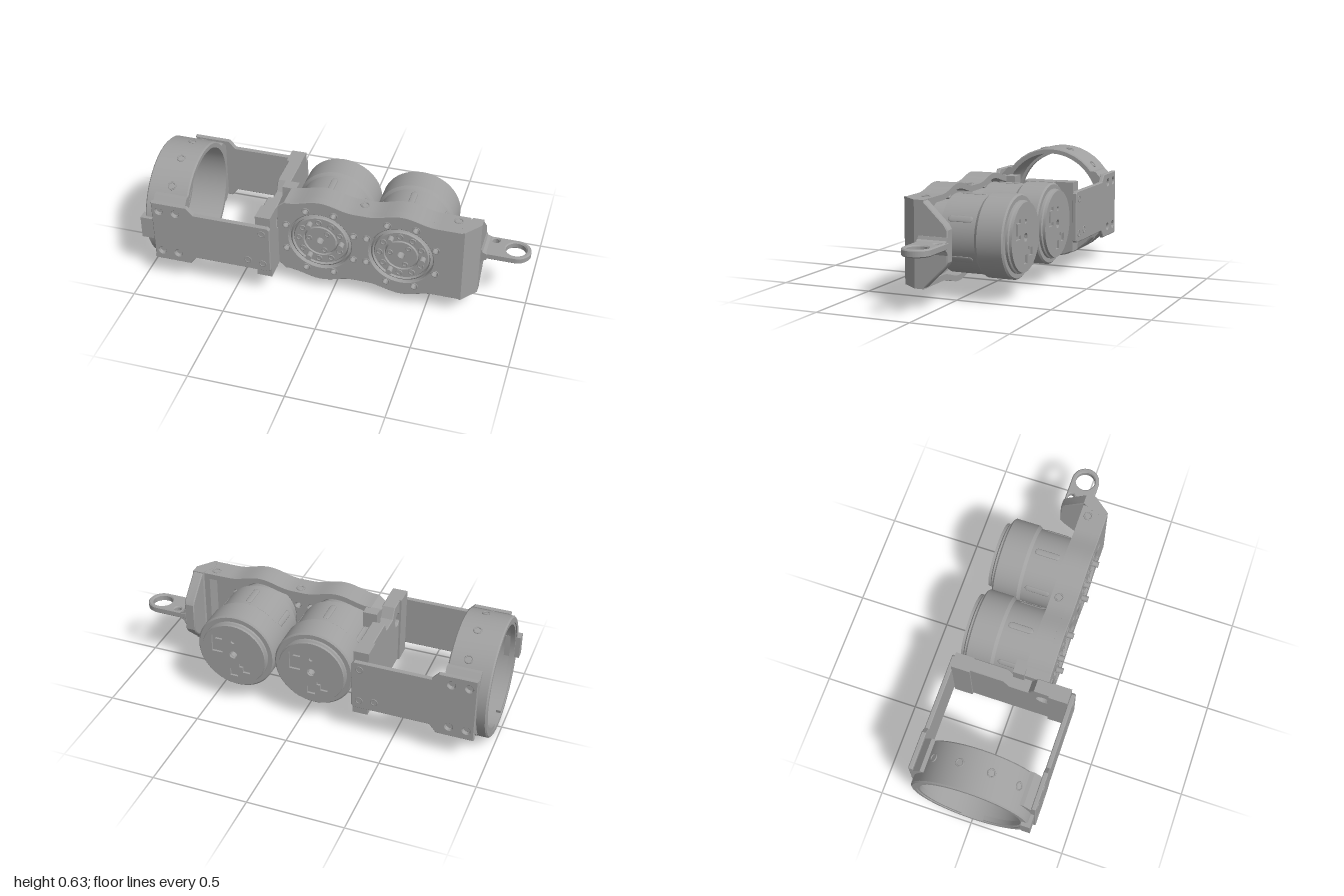
import * as THREE from 'three';
import { toCreasedNormals } from 'three/addons/utils/BufferGeometryUtils.js';

const metal = new THREE.MeshStandardMaterial({ color: 0xa0a0a0 });
metal.name = 'grey metal';

const CY = 0.317;               // height of the main axis
const MOTORS = [-0.065, 0.365]; // motor centres along x

function add(parent, name, geo) {
  const m = new THREE.Mesh(geo, metal);
  m.name = name;
  parent.add(m);
  return m;
}
const poly = pts => new THREE.Shape(pts.map(p => new THREE.Vector2(p[0], p[1])));
function hole(shape, x, y, r) {
  const p = new THREE.Path();
  p.absarc(x, y, r, 0, Math.PI * 2, true);
  shape.holes.push(p);
}
// Extrude between two depths along z, x or y
function extrude(shape, from, to, axis = 'z', bevel = 0) {
  const g = new THREE.ExtrudeGeometry(shape, {
    depth: to - from - 2 * bevel, curveSegments: 20, bevelEnabled: bevel > 0,
    bevelSize: bevel, bevelThickness: bevel, bevelOffset: -bevel, bevelSegments: 1,
  });
  g.translate(0, 0, from + bevel);
  if (axis === 'x') g.rotateY(Math.PI / 2);   // shape is (-z, y)
  if (axis === 'y') g.rotateX(-Math.PI / 2);  // shape is (x, -z)
  return toCreasedNormals(g, 0.5);
}
function lathe(pts, segments) {
  const g = new THREE.LatheGeometry(pts.map(p => new THREE.Vector2(p[0], p[1])), segments);
  return toCreasedNormals(g, 0.4);
}
function box(parent, name, x0, x1, y0, y1, z0, z1) {
  const m = add(parent, name, new THREE.BoxGeometry(x1 - x0, y1 - y0, z1 - z0));
  m.position.set((x0 + x1) / 2, (y0 + y1) / 2, (z0 + z1) / 2);
  return m;
}
function rim(parent, name, x, y, z, r) {
  const m = add(parent, name, new THREE.TorusGeometry(r, 0.004, 6, 16));
  m.position.set(x, y, z);
  return m;
}

// Wavy body outline, swelling around both motors
function bodyOutline(x0, x1, inset) {
  const top = [[x0, 0.18 - inset]];
  const start = x0 + 0.04;
  for (let i = 0; i <= 48; i++) {
    const x = start + (x1 - start) * i / 48;
    let h = 0.215 - inset;
    for (const c of MOTORS) {
      const d = Math.abs(x - c);
      if (d < 0.18) h += 0.034 * Math.cos(Math.PI * d / 0.36) ** 2;
    }
    top.push([x, h]);
  }
  const low = top.map(([x, h]) => [x, CY - h]);
  return low.concat(top.map(([x, h]) => [x, CY + h]).reverse());
}

function buildClamp() {
  const g = new THREE.Group();
  g.name = 'clampFrame';

  // Open ring
  const ring = add(g, 'clampRing', lathe(
    [[0.285, -0.98], [0.308, -0.98], [0.315, -0.973], [0.315, -0.762], [0.308, -0.755], [0.285, -0.755], [0.285, -0.98]], 40));
  ring.geometry.rotateZ(-Math.PI / 2);
  ring.position.y = CY - 0.002;

  // Inner lip, open at top and bottom
  for (const a of [0, Math.PI]) {
    const s = new THREE.Shape();
    s.absarc(0, 0, 0.288, a - 1.35, a + 1.35, false);
    s.absarc(0, 0, 0.268, a + 1.35, a - 1.35, true);
    add(g, 'ringLip', extrude(s, -0.975, -0.95, 'x')).position.y = CY;
  }
  // Screw holes round the ring
  for (let i = 0; i < 12; i++) {
    const a = (15 + 30 * i) * Math.PI / 180;
    const r = rim(g, 'ringScrewHole', -0.85, CY + 0.314 * Math.cos(a), 0.314 * Math.sin(a), 0.019);
    r.rotation.x = a - Math.PI / 2;
  }

  for (const s of [-1, 1]) {
    // Side plates
    const plate = poly([[-0.93, 0.135], [-0.735, 0.135], [-0.70, 0.178], [-0.30, 0.178], [-0.288, 0.19],
      [-0.288, 0.445], [-0.30, 0.457], [-0.70, 0.457], [-0.735, 0.497], [-0.93, 0.497]]);
    for (const x of [-0.89, -0.80]) for (const y of [0.19, 0.445]) hole(plate, x, y, 0.019);
    add(g, 'sidePlate', extrude(plate, s > 0 ? 0.308 : -0.332, s > 0 ? 0.332 : -0.308, 'z', 0.004));
    for (const [x, y] of [[-0.33, 0.415], [-0.33, 0.225], [-0.41, 0.235]]) rim(g, 'plateScrew', x, y, s * 0.331, 0.017);
    // Corner blocks between ring and plates
    for (const t of [-1, 1]) {
      const pts = [[0.24, 0.19], [0.27, 0.19], [0.312, 0.145], [0.312, 0.03], [0.29, 0.08], [0.26, 0.14]]
        .map(([u, v]) => [u * s, v * t]);
      add(g, 'cornerBlock', extrude(poly(pts), -0.93, -0.755, 'x')).position.y = CY;
    }
  }
  // Cross wall with a cable notch and hole
  const wall = poly([[-0.31, 0.15], [-0.29, 0.13], [0.29, 0.13], [0.31, 0.15], [0.31, 0.49], [0.29, 0.505],
    [0.03, 0.505], [0, 0.45], [-0.1, 0.45], [-0.13, 0.505], [-0.29, 0.505], [-0.31, 0.49]]);
  hole(wall, -0.18, 0.40, 0.035);
  add(g, 'crossWall', extrude(wall, -0.36, -0.29, 'x', 0.004));
  for (const s of [-1, 1]) box(g, 'wallFoot', -0.37, -0.29, 0.13, 0.505, s * 0.26 - 0.05, s * 0.26 + 0.05);
  box(g, 'ringTab', -1, -0.92, 0.255, 0.38, 0.275, 0.325);
  return g;
}

function buildBody() {
  const g = new THREE.Group();
  g.name = 'motorBody';

  // Front plate with motor openings and rings of screw holes
  const front = poly(bodyOutline(-0.295, 0.68, 0));
  for (const c of MOTORS) {
    hole(front, c, CY, 0.168);
    for (let i = 0; i < 8; i++) {
      const a = (i + 0.5) * Math.PI / 4;
      const x = c + 0.195 * Math.cos(a), y = CY + 0.195 * Math.sin(a);
      hole(front, x, y, 0.014);
      rim(g, 'bodyScrew', x, y, 0.187, 0.018);
    }
  }
  add(g, 'frontPlate', extrude(front, 0.14, 0.188, 'z', 0.004));

  // Hollow rim behind the plate
  const shell = poly(bodyOutline(-0.295, 0.69, 0));
  shell.holes.push(poly(bodyOutline(-0.262, 0.66, 0.03)));
  add(g, 'bodyRim', extrude(shell, 0.052, 0.145));

  // Slanted end and tapering end plate
  const end = poly([[0.675, -0.188], [0.685, -0.188], [0.755, -0.10], [0.755, -0.05], [0.70, -0.05], [0.66, -0.13]]);
  add(g, 'slantedEnd', extrude(end, 0.102, 0.533, 'y'));
  const taper = poly([[-0.10, 0.102], [-0.055, 0.102], [0.062, 0.215], [0.076, 0.24],
    [0.076, 0.395], [0.062, 0.42], [-0.055, 0.533], [-0.10, 0.533]]);
  add(g, 'endPlate', extrude(taper, 0.70, 0.755, 'x', 0.005));

  // Lugs holding the body to the cross wall, and side screws
  for (const s of [-1, 1]) {
    const y = CY + s * 0.17;
    box(g, 'mountLug', -0.305, -0.23, y - 0.043, y + 0.043, 0, 0.06);
    for (const x of [0.15, 0.635]) rim(g, 'sideScrew', x, CY + s * 0.216, 0.095, 0.02).rotation.x = Math.PI / 2;
  }
  return g;
}

function buildMotor(x) {
  const g = new THREE.Group();
  g.name = 'motor';
  g.position.set(x, CY, 0);

  // Turned housing with a through bore
  const body = add(g, 'motorHousing', lathe([[0.02, -0.30], [0.17, -0.30], [0.182, -0.292], [0.182, -0.28],
    [0.205, -0.28], [0.213, -0.272], [0.213, -0.142], [0.2, -0.125], [0.2, 0.06], [0.162, 0.06], [0.162, 0.172],
    [0.152, 0.18], [0.146, 0.168], [0.14, 0.178], [0.092, 0.178], [0.088, 0.168], [0.082, 0.178], [0.02, 0.178], [0.02, -0.30]], 56));
  body.geometry.rotateX(Math.PI / 2);
  // Raised back cover
  const cover = new THREE.Shape();
  cover.absarc(0, 0, 0.175, 0, Math.PI * 2, false);
  hole(cover, 0, 0, 0.022);
  cover.holes.push(poly([[0.06, 0.0], [0.12, 0.0], [0.12, 0.1], [0.06, 0.1], [0.06, 0.08], [0.1, 0.08], [0.1, 0.02], [0.06, 0.02]]));
  for (const [u, v, r] of [[0, -0.11, 0.022], [-0.07, -0.08, 0.02], [-0.04, -0.06, 0.01]])
    cover.holes.push(poly([[u - r, v - r], [u + r, v - r], [u + r, v + r], [u - r, v + r]]));
  hole(cover, 0.0, 0.08, 0.012);
  add(g, 'backCover', extrude(cover, -0.312, -0.298));

  // Drive pins and flange holes
  for (let i = 0; i < 3; i++) {
    const a = i * Math.PI * 2 / 3;
    const pin = add(g, 'drivePin', new THREE.CylinderGeometry(0.016, 0.016, 0.05, 16));
    pin.rotation.x = Math.PI / 2;
    pin.position.set(0.113 * Math.cos(a), 0.113 * Math.sin(a), 0.188);
    rim(g, 'hubHole', 0.06 * Math.cos(a + 0.9), 0.06 * Math.sin(a + 0.9), 0.178, 0.012);
    for (const d of [0.45, 1.05, 1.65])
      rim(g, 'flangeHole', 0.115 * Math.cos(a + d), 0.115 * Math.sin(a + d), 0.178, 0.014);
  }
  // Rounded side vents
  for (let i = 0; i < 6; i++) {
    const a = i * Math.PI / 3 + Math.PI / 2;
    const vent = add(g, 'sideVent', new THREE.CapsuleGeometry(0.017, 0.10, 4, 10));
    vent.geometry.scale(1, 1, 0.2).rotateX(Math.PI / 2);
    vent.position.set(0.2 * Math.cos(a), 0.2 * Math.sin(a), -0.04);
    vent.rotation.z = a - Math.PI / 2;
  }
  return g;
}

function buildEye() {
  const g = new THREE.Group();
  g.name = 'mountingEye';
  // Flat tongue ending in an eye
  const s = new THREE.Shape();
  s.moveTo(0.75, -0.07);
  s.lineTo(0.925, -0.07);
  s.absarc(0.925, 0.005, 0.075, -Math.PI / 2, Math.PI / 2, false);
  s.lineTo(0.75, 0.08);
  hole(s, 0.922, 0.005, 0.053);
  hole(s, 0.81, 0.05, 0.018);
  add(g, 'eyeTongue', extrude(s, 0.302, 0.34, 'y', 0.006));
  // Flared root
  const root = poly([[0.75, 0.275], [0.757, 0.275], [0.763, 0.293], [0.785, 0.304],
    [0.785, 0.338], [0.763, 0.346], [0.757, 0.362], [0.75, 0.362]]);
  add(g, 'eyeRoot', extrude(root, -0.078, 0.078));
  return g;
}

export function createModel() {
  const model = new THREE.Group();
  model.name = 'motorClampAssembly';
  model.add(buildClamp(), buildBody(), ...MOTORS.map(buildMotor), buildEye());
  return model;
}
